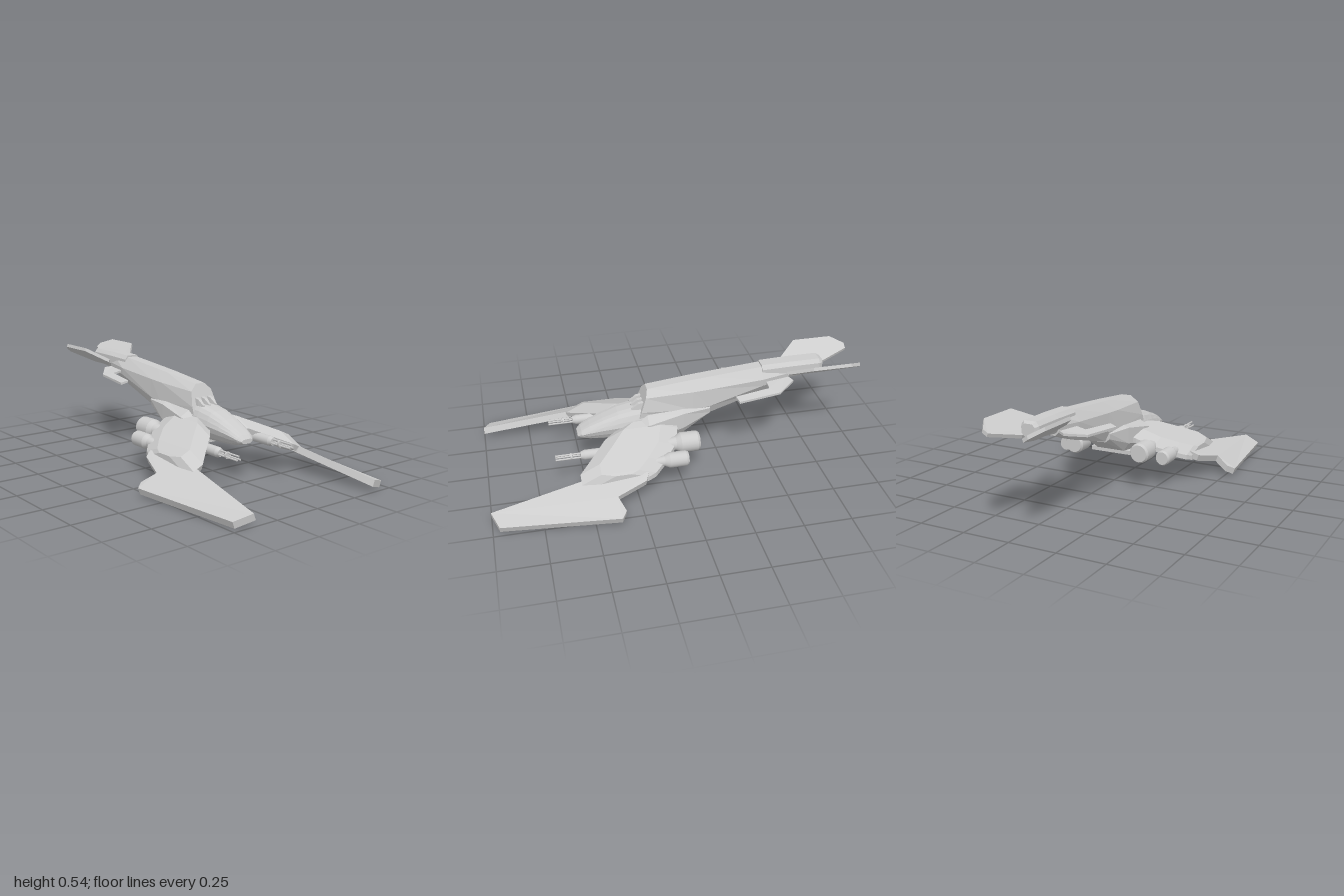
import * as THREE from 'three';

const flat = new THREE.MeshStandardMaterial({ color: 0xcccccc, flatShading: true });
const smooth = new THREE.MeshStandardMaterial({ color: 0xcccccc });

// Solid skinned over closed rings of [x, y, z], with triangulated end caps
function loft(rings) {
  const R = rings.map(r => r.map(p => new THREE.Vector3(...p)));
  const n = R[0].length, tris = [];
  for (let k = 0; k < R.length - 1; k++) {
    for (let i = 0; i < n; i++) {
      const j = (i + 1) % n, a = R[k], b = R[k + 1];
      tris.push([a[i], a[j], b[j]], [a[i], b[j], b[i]]);
    }
  }
  const cap = (ring, reverse) => {
    const N = new THREE.Vector3();
    ring.forEach((p, i) => N.add(p.clone().cross(ring[(i + 1) % n])));
    const m = N.toArray().map(Math.abs), d = m.indexOf(Math.max(...m));
    const flatRing = ring.map(p => {
      const c = p.toArray();
      c.splice(d, 1);
      return new THREE.Vector2(...c);
    });
    for (const f of THREE.ShapeUtils.triangulateShape(flatRing, [])) {
      const [a, b, c] = f.map(i => ring[i]);
      const up = b.clone().sub(a).cross(c.clone().sub(a)).dot(N) > 0;
      tris.push(up !== reverse ? [a, b, c] : [a, c, b]);
    }
  };
  cap(R[0], true);
  cap(R[R.length - 1], false);
  // Turn the whole solid outward if its volume comes out negative
  let vol = 0;
  for (const [a, b, c] of tris) vol += a.dot(b.clone().cross(c));
  const pos = [];
  for (const [a, b, c] of tris) for (const p of vol > 0 ? [a, b, c] : [a, c, b]) pos.push(p.x, p.y, p.z);
  const g = new THREE.BufferGeometry();
  g.setAttribute('position', new THREE.Float32BufferAttribute(pos, 3));
  g.computeVertexNormals();
  return g;
}

// Thin plate: top outline dropped by a thickness, optionally sideways too
const plate = (pts, t, dx = 0) => loft([pts.map(([x, y, z]) => [x - dx, y - t, z]), pts]);

// Left-right symmetric ring from its +x half, listed top to bottom
const ring = (z, half, slant = 0) => {
  const h = half.map(([x, y]) => [x, y, z + slant * (y - half[0][1])]);
  return [...h, ...h.slice().reverse().map(([x, y, zz]) => [-x, y, zz])];
};

// Reflected copy across x = 0 with winding restored
function reflect(geo) {
  const g = geo.index ? geo.toNonIndexed() : geo.clone();
  for (const key of ['position', 'normal']) {
    const a = g.attributes[key];
    for (let i = 0; i < a.count; i += 3) {
      const v = [0, 2, 1].map(k => [-a.getX(i + k), a.getY(i + k), a.getZ(i + k)]);
      v.forEach((p, k) => a.setXYZ(i + k, ...p));
    }
  }
  return g;
}

// Cylinder along z between two depths
const rod = (x, y, z0, z1, r0, r1 = r0, sides = 20) =>
  new THREE.CylinderGeometry(r1, r0, z1 - z0, sides).rotateX(Math.PI / 2).translate(x, y, (z0 + z1) / 2);

export function createModel() {
  const model = new THREE.Group();
  const add = (name, geo, mat = flat) => {
    const mesh = new THREE.Mesh(geo, mat);
    mesh.name = name;
    model.add(mesh);
  };
  const pair = (name, geo, mat = flat) => {
    add(name + 'Left', geo, mat);
    add(name + 'Right', reflect(geo), mat);
  };

  // Spine hull, with its front face leaning back
  add('upperHull', loft([
    ring(0.14, [[0.028, 0.45], [0.065, 0.415], [0.08, 0.34], [0.08, 0.26]], -0.36),
    ring(-0.1, [[0.03, 0.475], [0.073, 0.425], [0.078, 0.32], [0.06, 0.25]]),
    ring(-0.19, [[0.03, 0.483], [0.073, 0.43], [0.075, 0.33], [0.05, 0.275]]),
    ring(-0.48, [[0.03, 0.507], [0.07, 0.45], [0.066, 0.41], [0.03, 0.355]]),
    ring(-0.63, [[0.03, 0.51], [0.048, 0.46], [0.045, 0.43], [0.025, 0.41]]),
  ]));
  // Broad lower body
  add('lowerHull', loft([
    ring(0.2, [[0.08, 0.285], [0.11, 0.275], [0.11, 0.21], [0.07, 0.175]]),
    ring(0.15, [[0.08, 0.32], [0.135, 0.29], [0.135, 0.2], [0.1, 0.165]]),
    ring(-0.04, [[0.07, 0.335], [0.108, 0.32], [0.108, 0.235], [0.08, 0.19]]),
    ring(-0.19, [[0.05, 0.335], [0.08, 0.32], [0.075, 0.29], [0.05, 0.27]]),
  ]));
  add('bellyPlate', plate([
    [0.06, 0.185, 0.26], [0.14, 0.185, 0.17], [0.12, 0.19, -0.03],
    [-0.12, 0.19, -0.03], [-0.14, 0.185, 0.17], [-0.06, 0.185, 0.26],
  ], 0.022));
  add('bellyKeel', new THREE.BoxGeometry(0.02, 0.045, 0.1).translate(0, 0.165, 0.1));

  // Tail boom
  add('tailBoom', loft([
    ring(-0.48, [[0.03, 0.516], [0.048, 0.495], [0.048, 0.455], [0.03, 0.43]]),
    ring(-0.64, [[0.032, 0.52], [0.05, 0.5], [0.05, 0.455], [0.03, 0.425]]),
    ring(-0.8, [[0.032, 0.52], [0.048, 0.5], [0.048, 0.46], [0.03, 0.442]]),
    ring(-0.82, [[0.022, 0.51], [0.036, 0.495], [0.036, 0.465], [0.022, 0.45]]),
  ]));

  // Cockpit: depth, half width, top, widest height, bottom
  add('cockpit', loft([
    [0.15, 0.088, 0.352, 0.275, 0.185], [0.22, 0.09, 0.348, 0.272, 0.185],
    [0.3, 0.086, 0.332, 0.265, 0.185], [0.38, 0.077, 0.303, 0.255, 0.186],
    [0.45, 0.066, 0.272, 0.242, 0.19], [0.495, 0.054, 0.246, 0.228, 0.197],
    [0.515, 0.036, 0.228, 0.218, 0.205],
  ].map(([z, w, top, mid, bot]) => {
    const up = top - mid, down = mid - bot;
    return ring(z, [[0.3 * w, top], [0.6 * w, mid + 0.93 * up], [0.78 * w, mid + 0.7 * up], [0.92 * w, mid + 0.35 * up],
      [w, mid], [0.9 * w, mid - 0.4 * down], [0.7 * w, mid - 0.8 * down], [0.48 * w, bot]]);
  })));
  for (const x of [-0.04, 0, 0.04]) {
    add('canopyVent', loft([
      [0.15, 0.016, 0.385], [0.19, 0.014, 0.378], [0.225, 0.008, 0.352],
    ].map(([z, w, top]) => [[x - w, 0.32, z], [x + w, 0.32, z], [x + 0.7 * w, top, z], [x - 0.7 * w, top, z]])));
  }

  // Drooping inner wing: span station, trailing depth, leading depth, top height
  pair('innerWing', loft([
    [0.06, 0.0, 0.3, 0.3], [0.13, 0.0, 0.385, 0.285], [0.22, 0.03, 0.465, 0.245],
    [0.3, 0.1, 0.54, 0.208], [0.355, 0.16, 0.54, 0.182], [0.37, 0.2, 0.47, 0.172],
  ].map(([x, t, l, y]) => [
    [x, y - 0.03, t], [x, y, t + 0.09], [x, y, l - 0.1], [x, y - 0.05, l],
    [x, y - 0.078, l - 0.01], [x, y - 0.085, l - 0.1], [x, y - 0.075, t + 0.09], [x, y - 0.055, t],
  ])));
  // Forward-swept outer wing blade
  pair('outerWing', plate([
    [0.335, 0.142, 0.54], [0.39, 0.065, 1.0], [0.48, 0.036, 0.965], [0.555, 0.048, 0.37],
    [0.52, 0.066, 0.345], [0.45, 0.105, 0.375], [0.4, 0.142, 0.22], [0.36, 0.165, 0.2],
  ], 0.033, 0.012));

  // V tail fins and the small swept stabilisers
  pair('tailFin', plate([
    [0.03, 0.454, -0.67], [0.03, 0.454, -0.82], [0.09, 0.497, -1.0], [0.115, 0.515, -1.0],
    [0.16, 0.542, -0.93], [0.16, 0.542, -0.72], [0.07, 0.483, -0.61],
  ], 0.017, -0.006));
  pair('stabiliser', plate([
    [0.03, 0.44, -0.5], [0.03, 0.44, -0.62], [0.08, 0.433, -0.645], [0.155, 0.413, -0.55],
    [0.185, 0.403, -0.32], [0.145, 0.413, -0.31], [0.115, 0.423, -0.5],
  ], 0.012));

  // Twin engine pods on each side
  for (const [name, x, y, z, r] of [['mainEngine', 0.195, 0.205, -0.1, 0.053], ['outerEngine', 0.292, 0.172, -0.02, 0.04]]) {
    pair(name + 'Nozzle', rod(x, y, z, z + 0.012, r * 0.85, r), smooth);
    pair(name + 'Casing', rod(x, y, z + 0.012, z + 0.1, r), smooth);
    pair(name + 'Shoulder', rod(x, y, z + 0.1, z + 0.125, r, r * 0.7), smooth);
    pair(name + 'Core', rod(x, y, z + 0.125, z + 0.2, r * 0.7, r * 0.5), smooth);
  }

  // Rotary guns beneath the leading edges
  const gx = 0.172, gy = 0.188;
  pair('gunHousing', rod(gx, gy, 0.38, 0.5, 0.026), smooth);
  pair('gunCollar', rod(gx, gy, 0.5, 0.52, 0.026, 0.019), smooth);
  pair('gunClamp', rod(gx, gy, 0.565, 0.575, 0.018, 0.018, 12), smooth);
  for (let i = 0; i < 3; i++) {
    const a = Math.PI / 2 + i * Math.PI * 2 / 3;
    pair('gunBarrel', rod(gx + 0.012 * Math.cos(a), gy + 0.012 * Math.sin(a), 0.5, 0.65, 0.005, 0.005, 8), smooth);
  }
  return model;
}
